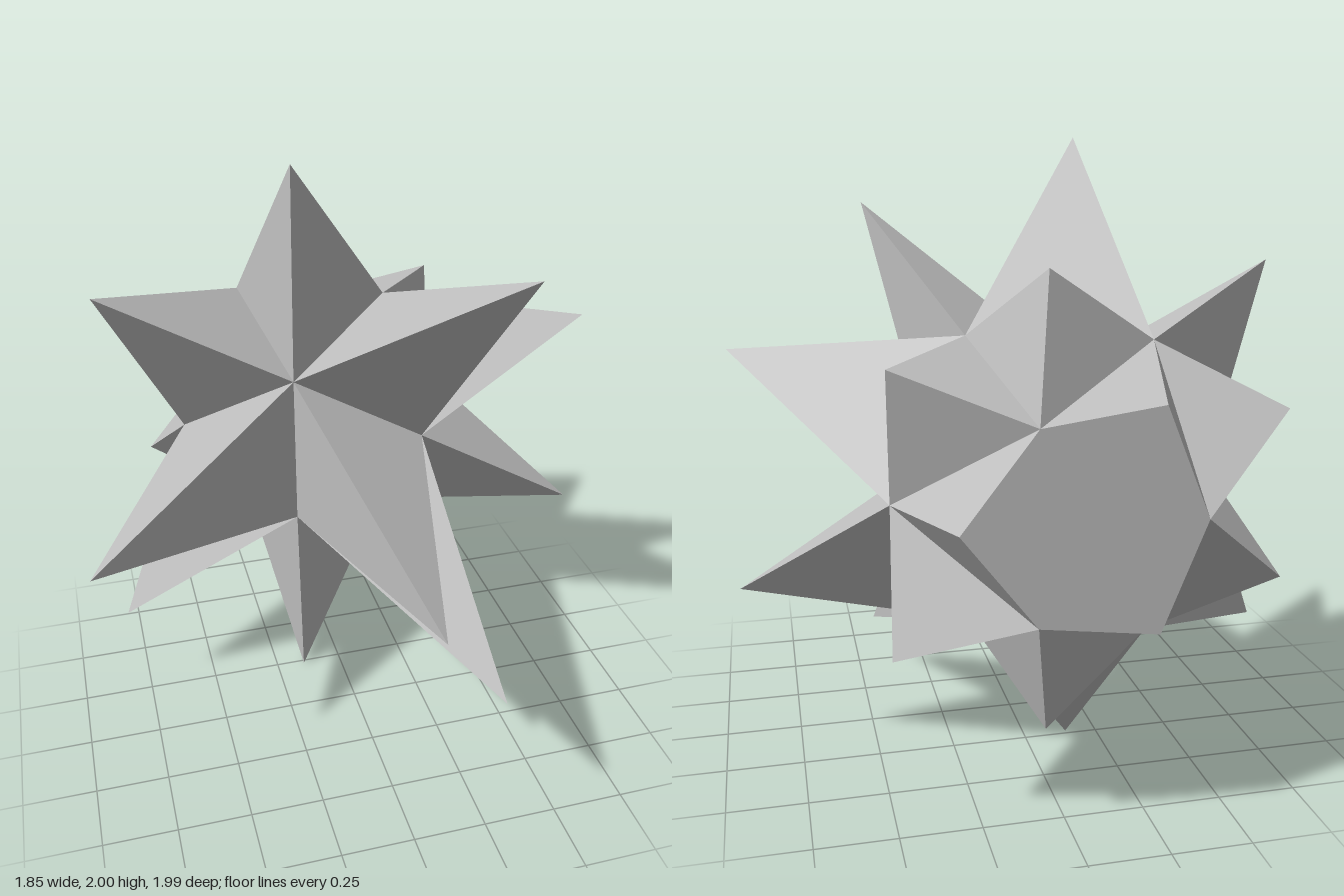
import * as THREE from 'three';

// Icosahedral core: four rings of three corners stacked along z
const PHI = (1 + Math.sqrt(5)) / 2;
const R = 0.313, H = 0.41, H2 = 0.0967;
const CENTRE = new THREE.Vector3(-0.01, 1, -0.59);

function coreCorners() {
  const rings = [[R, H, 0], [R * PHI, H2, 60], [R * PHI, -H2, 0], [R, -H, 60]];
  const corners = [];
  for (const [r, z, start] of rings) {
    for (let k = 0; k < 3; k++) {
      const a = THREE.MathUtils.degToRad(start + 120 * k);
      corners.push(new THREE.Vector3(r * Math.cos(a), r * Math.sin(a), z));
    }
  }
  return corners;
}

// Spikes shorten from front to back; the rearmost ones end flush with the flat base
const SPIKES = [
  { nz: 1, length: 1.577, name: 'frontSpike' },
  { nz: 0.745, length: 1.368, name: 'innerFrontSpike' },
  { nz: 0.333, length: 1.07, name: 'longRimSpike' },
  { nz: -0.333, length: 0.704, name: 'shortRimSpike' },
  { nz: -0.745, length: H / 0.7454, name: 'backSpike' },
  { nz: -1, length: H, name: 'flatBase' },
];

// Open three-sided pyramid standing on one core face
function pyramid(a, b, c, tip) {
  const points = [a, b, tip, b, c, tip, c, a, tip];
  const geometry = new THREE.BufferGeometry().setFromPoints(points);
  geometry.computeVertexNormals();
  return geometry;
}

export function createModel() {
  const model = new THREE.Group();
  model.name = 'spikedStar';
  const grey = new THREE.MeshStandardMaterial({ color: 0xc0c0c0, flatShading: true });
  grey.name = 'grey';

  const v = coreCorners();
  const near = (p, q) => p.distanceTo(q) < 0.65;
  for (let i = 0; i < 12; i++) for (let j = i + 1; j < 12; j++) for (let k = j + 1; k < 12; k++) {
    if (!near(v[i], v[j]) || !near(v[j], v[k]) || !near(v[i], v[k])) continue;
    let [a, b, c] = [v[i], v[j], v[k]];
    const out = a.clone().add(b).add(c).normalize();
    const turn = b.clone().sub(a).cross(c.clone().sub(a));
    if (turn.dot(out) < 0) [b, c] = [c, b];
    const spike = SPIKES.find((s) => Math.abs(s.nz - out.z) < 0.1);
    const mesh = new THREE.Mesh(pyramid(a, b, c, out.multiplyScalar(spike.length)), grey);
    mesh.name = spike.name;
    mesh.position.copy(CENTRE);
    model.add(mesh);
  }
  return model;
}
